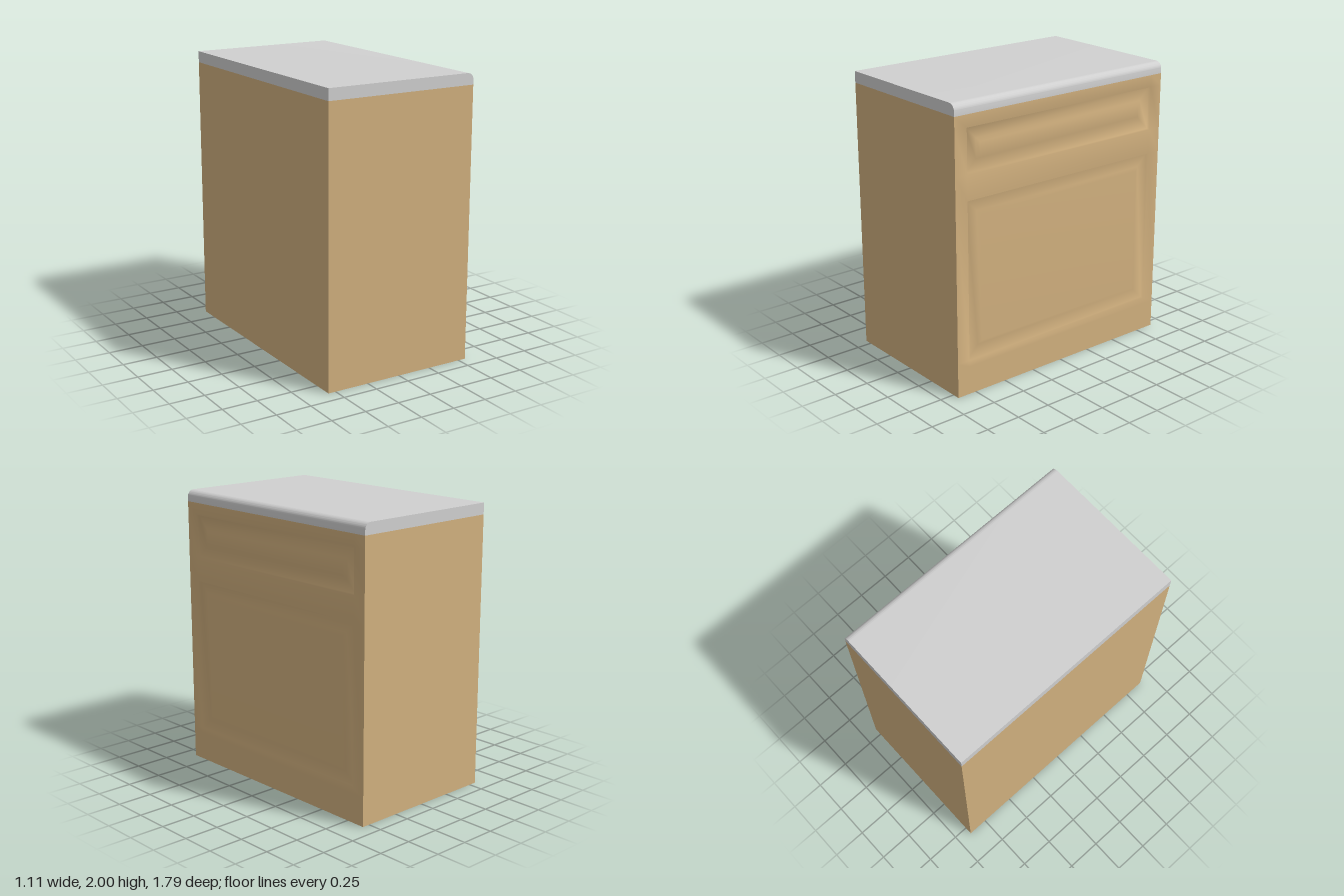
import * as THREE from 'three';
import { mergeVertices, toCreasedNormals } from 'three/addons/utils/BufferGeometryUtils.js';

const X = 0.555, Z = 0.895, BODY = 1.92, TOP = 2;

// Recessed panels on the +x face: half width and height range
const panels = [
  { z: 0.8, y0: 0.245, y1: 1.355 },
  { z: 0.8, y0: 1.53, y1: 1.835 },
];
// Panel moulding, from the opening inwards: [inset, depth]
const moulding = [[0, 0], [0.004, 0.02], [0.085, 0.02], [0.11, 0.008]];

function paneledFace() {
  const pos = [];
  const quad = (a, b, c, d) => pos.push(...a, ...b, ...c, ...a, ...c, ...d);
  const rect = (y0, y1, z0, z1, x) => [[x, y0, z0], [x, y1, z0], [x, y1, z1], [x, y0, z1]];

  // Flat frame, leaving out the panel openings
  const ys = [0, 0.2, 0.245, 1.355, 1.53, 1.835, BODY];
  const zs = [-Z, -0.8, 0.8, Z];
  for (let i = 0; i < ys.length - 1; i++) {
    for (let j = 0; j < zs.length - 1; j++) {
      if (j === 1 && panels.some(p => p.y0 === ys[i])) continue;
      quad(...rect(ys[i], ys[i + 1], zs[j], zs[j + 1], X));
    }
  }
  // Stepped rings and raised centre of each panel
  for (const p of panels) {
    const rings = moulding.map(([s, d]) => rect(p.y0 + s, p.y1 - s, -p.z + s, p.z - s, X - d));
    for (let r = 0; r < rings.length - 1; r++) {
      for (let i = 0; i < 4; i++) {
        const k = (i + 1) % 4;
        quad(rings[r][i], rings[r][k], rings[r + 1][k], rings[r + 1][i]);
      }
    }
    quad(...rings[rings.length - 1]);
  }
  const g = new THREE.BufferGeometry();
  g.setAttribute('position', new THREE.Float32BufferAttribute(pos, 3));
  const merged = mergeVertices(g); // shared corners give softly shaded moulding
  merged.computeVertexNormals();
  return merged;
}

export function createModel() {
  const wood = new THREE.MeshStandardMaterial({ color: 0xd2b17f });
  wood.name = 'wood';
  const stone = new THREE.MeshStandardMaterial({ color: 0xd0d0d0 });
  stone.name = 'counter grey';

  const group = new THREE.Group();
  group.name = 'baseCabinet';
  const add = (name, geometry, material) => {
    const mesh = new THREE.Mesh(geometry, material);
    mesh.name = name;
    group.add(mesh);
    return mesh;
  };

  // Carcass: a box without its +x side
  const box = new THREE.BoxGeometry(2 * X, BODY, 2 * Z);
  box.setIndex(Array.from(box.index.array).slice(6));
  box.clearGroups();
  add('carcass', box, wood).position.y = BODY / 2;

  // Drawer and door face
  add('drawerAndDoorFace', paneledFace(), wood);

  // Countertop with a rounded upper edge above the doors
  const r = 0.048;
  const profile = new THREE.Shape();
  profile.moveTo(-X, BODY);
  profile.lineTo(X, BODY);
  profile.lineTo(X, TOP - r);
  profile.absarc(X - r, TOP - r, r, 0, Math.PI / 2, false);
  profile.lineTo(-X, TOP);
  profile.closePath();
  const slab = new THREE.ExtrudeGeometry(profile, { depth: 2 * Z, bevelEnabled: false, curveSegments: 10 });
  slab.translate(0, 0, -Z);
  add('countertop', toCreasedNormals(slab, 0.5), stone);

  return group;
}
